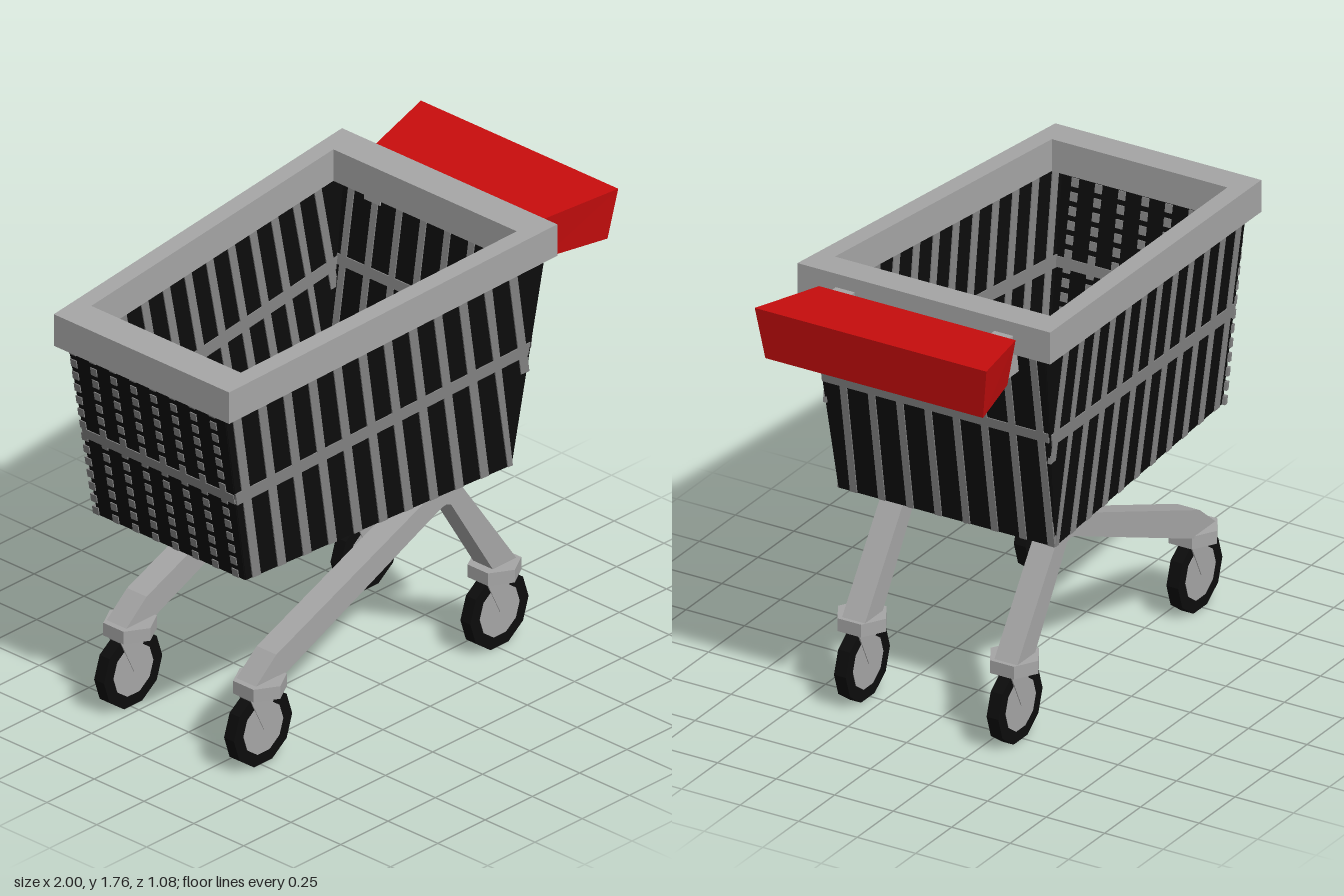
import * as THREE from 'three';

const mat = (name, color) => {
  const m = new THREE.MeshStandardMaterial({ color });
  m.name = name;
  return m;
};

// Flat-shaded six-sided solid between two four-cornered loops
function hexa(a, b) {
  const p = [...a, ...b].map((c) => new THREE.Vector3(...c));
  const quads = [[3, 2, 1, 0], [4, 5, 6, 7], [0, 1, 5, 4], [1, 2, 6, 5], [2, 3, 7, 6], [3, 0, 4, 7]];
  const tris = quads.flatMap(([i, j, k, l]) => [[i, j, k], [i, k, l]]);
  const centre = p.reduce((s, v) => s.add(v), new THREE.Vector3()).divideScalar(8);
  const rel = p.map((v) => v.clone().sub(centre));
  const volume = tris.reduce((s, [i, j, k]) => s + rel[i].dot(rel[j].clone().cross(rel[k])), 0);
  const pts = tris.flatMap((t) => (volume < 0 ? [t[0], t[2], t[1]] : t)).map((i) => p[i]);
  const g = new THREE.BufferGeometry().setFromPoints(pts);
  g.computeVertexNormals();
  return g;
}

// Thin plate through four corners, with its thickness along one axis (0 x, 1 y, 2 z)
function plate(corners, axis, t) {
  const shift = (d) => corners.map((c) => c.map((v, i) => (i === axis ? v + d : v)));
  return hexa(shift(-t / 2), shift(t / 2));
}

export function createModel() {
  const metal = mat('light grey', 0xa6a6a6);
  const wire = mat('wire grey', 0x838383);
  const black = mat('black', 0x0c0c0c);
  const red = mat('handle red', 0xc80d0d);

  const model = new THREE.Group();
  model.name = 'shoppingCart';
  const add = (name, geometry, material, parent = model) => {
    const m = new THREE.Mesh(geometry, material);
    m.name = name;
    parent.add(m);
    return m;
  };

  // Planes that bound the basket
  const FLOOR = 0.8;
  const rimY = (x) => 1.53 + 0.0613 * (x + 1);
  const topY = (x) => rimY(x) + 0.03;
  const halfZ = (x, y) => 0.37 + 0.0687 * (x + 0.84) + 0.04 * (y - FLOOR);
  const frontX = (y) => -0.84 - 0.178 * (y - FLOOR);
  const rearX = (y) => 0.47 + 0.158 * (y - FLOOR);
  const yF = 1.56, yR = 1.655;

  const basket = new THREE.Group();
  basket.name = 'basket';
  model.add(basket);
  const WALL = 0.006, BAR = 0.015;

  // Side walls with leaning bars and a middle rail
  for (const s of [1, -1]) {
    const on = (x, y) => [x, y, s * halfZ(x, y)];
    const side = (pts, t) => plate(pts.map(([x, y]) => on(x, y)), 2, t);
    add('sideWall', side([[frontX(FLOOR), FLOOR], [rearX(FLOOR), FLOOR], [rearX(yR), yR], [frontX(yF), yF]], WALL), black, basket);
    for (let i = 0; i < 12; i++) {
      const b = -0.79 + 0.125 * i;
      const xAt = (y) => b - 0.178 * (y - FLOOR);
      const y0 = i === 11 ? 1.17 : FLOOR;
      const y1 = topY(xAt(1.55));
      const w = i === 10 ? 0.012 : 0.02;
      add('sideBar', side([[xAt(y0) - w, y0], [xAt(y0) + w, y0], [xAt(y1) + 0.02, y1], [xAt(y1) - 0.02, y1]], BAR), wire, basket);
    }
    add('sideRail', side([[-0.9, 1.135], [0.53, 1.24], [0.54, 1.29], [-0.91, 1.185]], BAR), wire, basket);
  }

  // End walls: solid bars at the rear, dashed bars at the front
  const ends = [
    { name: 'rear', xAt: rearX, top: yR, rail: 1.28, pitch: 0.1207, dashes: 1 },
    { name: 'front', xAt: frontX, top: yF, rail: 1.16, pitch: 0.1, dashes: 14 },
  ];
  for (const { name, xAt, top, rail, pitch, dashes } of ends) {
    const end = (pts, t) => plate(pts.map(([z, y]) => [xAt(y), y, z]), 0, t);
    const h0 = halfZ(xAt(FLOOR), FLOOR), h1 = halfZ(xAt(top), top), hr = halfZ(xAt(rail), rail);
    add(name + 'Wall', end([[-h0, FLOOR], [h0, FLOOR], [h1, top], [-h1, top]], WALL), black, basket);
    for (let i = 0; i < 8; i++) {
      const z = (3.27 - i) * pitch;
      const step = (top - FLOOR) / dashes;
      for (let k = 0; k < dashes; k++) {
        const y0 = FLOOR + k * step;
        const y1 = y0 + step * (dashes > 1 ? 0.6 : 1);
        const w = 0.015;
        add(name + 'Bar', end([[z - w, y0], [z + w, y0], [z + w, y1], [z - w, y1]], BAR), wire, basket);
      }
    }
    add(name + 'Rail', end([[-hr, rail - 0.02], [hr, rail - 0.02], [hr, rail + 0.02], [-hr, rail + 0.02]], BAR), wire, basket);
  }

  // Floor with a grid of dark openings, clipped to the tapering sides
  const hF = halfZ(-0.84, FLOOR), hR = halfZ(0.47, FLOOR);
  add('floor', plate([[-0.84, 0.806, -hF], [0.47, 0.806, -hR], [0.47, 0.806, hR], [-0.84, 0.806, hF]], 1, 0.01), wire, basket);
  for (let i = 0; i < 8; i++) {
    const x = -0.76 + 0.173 * i;
    const x0 = x - 0.064, x1 = Math.min(x + 0.064, 0.465);
    const limit = halfZ(x0, FLOOR) - 0.01;
    for (let k = -1; k < 8; k++) {
      const z = -0.337 + 0.1003 * k;
      const z0 = Math.max(z - 0.033, -limit), z1 = Math.min(z + 0.033, limit);
      if (z1 - z0 < 0.01) continue;
      add('floorOpening', plate([[x0, 0.806, z0], [x1, 0.806, z0], [x1, 0.806, z1], [x0, 0.806, z1]], 1, 0.016), black, basket);
    }
  }

  // Sloping rim made of four mitred beams
  const outer = [[-1, 0.44], [0.63, 0.54], [0.63, -0.54], [-1, -0.44]];
  const inner = [[-0.87, 0.375], [0.5, 0.46], [0.5, -0.46], [-0.87, -0.375]];
  for (let i = 0; i < 4; i++) {
    const j = (i + 1) % 4;
    const loop = (h) => [outer[i], outer[j], inner[j], inner[i]].map(([x, z]) => [x, rimY(x) + h, z]);
    add('rim', hexa(loop(0), loop(0.13)), metal);
  }

  // Handle and its two brackets
  const ring = (x0, y0, h0, x1, y1, h1) => [[x0, y0, h0], [x1, y1, h1], [x1, y1, -h1], [x0, y0, -h0]];
  add('handle', hexa(ring(0.7, 1.54, 0.4, 0.975, 1.54, 0.465), ring(0.675, 1.717, 0.42, 1, 1.747, 0.495)), red);
  for (const z of [0.336, -0.342]) {
    add('handleBracket', new THREE.BoxGeometry(0.13, 0.16, 0.08), metal).position.set(0.645, 1.625, z);
  }

  // Bent leg frames
  const legShape = new THREE.Shape([
    [-0.8, 0.335], [-0.64, 0.335], [0.19, 0.7], [0.215, 0.704], [0.24, 0.695], [0.465, 0.335], [0.59, 0.335],
    [0.3, 0.745], [0.275, 0.775], [0.24, 0.795], [0.2, 0.797], [0.16, 0.782], [-0.684, 0.433],
  ].map(([x, y]) => new THREE.Vector2(x, y)));
  for (const z of [0.328, -0.323]) {
    const g = new THREE.ExtrudeGeometry(legShape, { depth: 0.098, bevelEnabled: false });
    add('legFrame', g.translate(0, 0, z - 0.049), metal);
  }

  // Casters: hexagonal mount, wedge fork, ten-sided wheel and hub
  const disc = (r, w) => new THREE.CylinderGeometry(r, r, w, 10).rotateY(Math.PI / 10).rotateX(Math.PI / 2).toNonIndexed();
  const flat = (g) => { g.computeVertexNormals(); return g; };
  const mount = flat(new THREE.CylinderGeometry(0.102, 0.102, 0.052, 6).toNonIndexed());
  const tire = flat(disc(0.154, 0.05));
  const hub = flat(disc(0.105, 0.054));
  const forkShape = new THREE.Shape([[-0.075, 0.295], [0, 0.14], [0.075, 0.295]].map(([x, y]) => new THREE.Vector2(x, y)));
  const fork = new THREE.ExtrudeGeometry(forkShape, { depth: 0.06, bevelEnabled: false }).translate(0, 0, -0.03);
  for (const x of [-0.737, 0.513]) {
    for (const z of [0.336, -0.316]) {
      const caster = new THREE.Group();
      caster.name = 'caster';
      caster.position.set(x, 0, z);
      add('casterMount', mount, metal, caster).position.set(x < 0 ? 0.01 : 0, 0.316, 0);
      add('fork', fork, metal, caster);
      add('tire', tire, black, caster).position.y = 0.147;
      add('hub', hub, metal, caster).position.y = 0.147;
      model.add(caster);
    }
  }
  return model;
}
